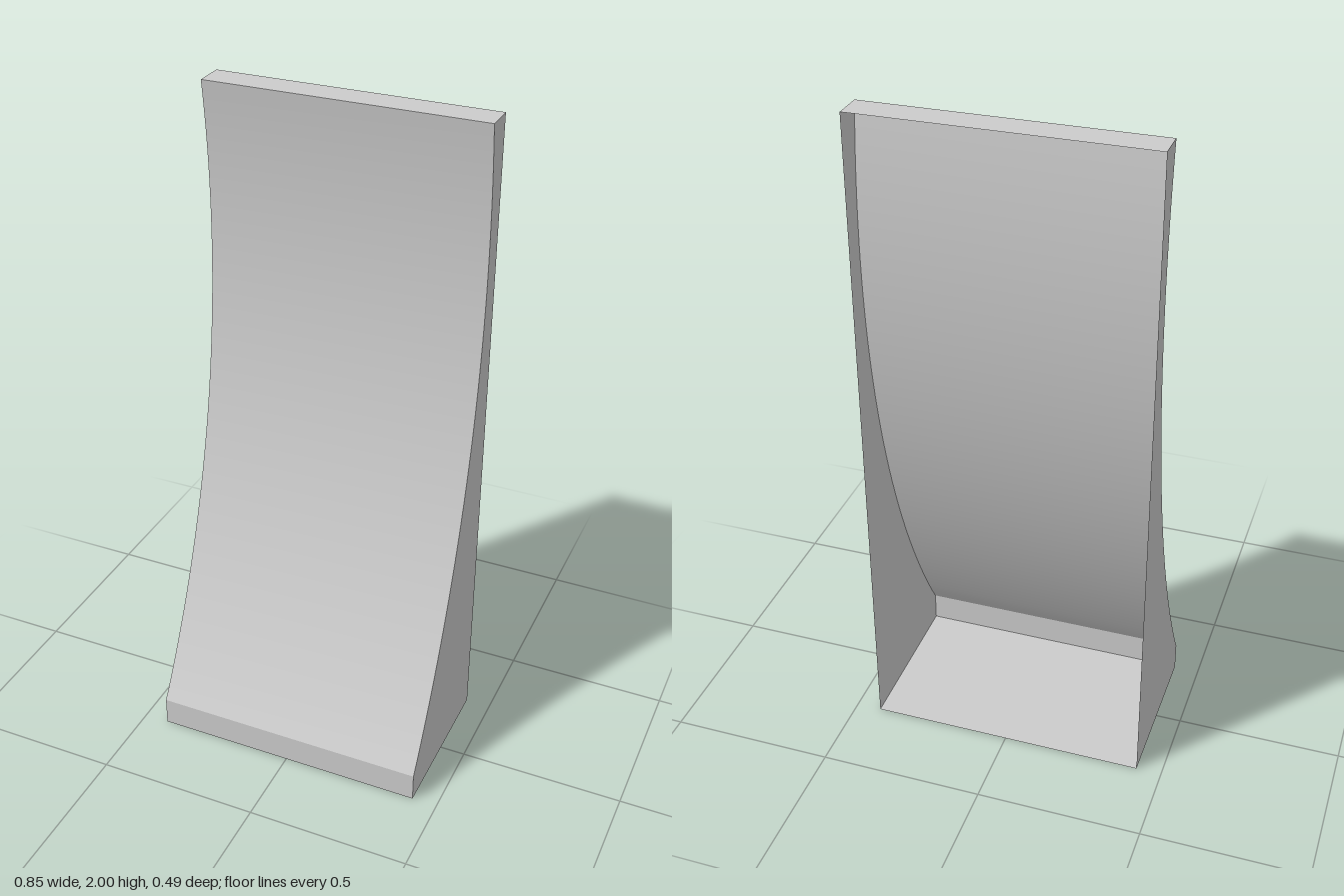
import * as THREE from 'three';

const HALF_W = 0.423, BACK = -0.247, FRONT = 0.247, HEIGHT = 2, LIP = 0.09;
const ARC = { z: 2.698, y: 1.6, r: 2.88, steps: 40 };

// Concave front profile as (z, y) points, from the top edge down to the lip
function frontProfile() {
  const a0 = Math.asin((HEIGHT - ARC.y) / ARC.r);
  const a1 = Math.asin((LIP - ARC.y) / ARC.r);
  const points = [];
  for (let i = 0; i <= ARC.steps; i++) {
    const a = a0 + (a1 - a0) * i / ARC.steps;
    points.push(new THREE.Vector2(ARC.z - ARC.r * Math.cos(a), ARC.y + ARC.r * Math.sin(a)));
  }
  points[0].y = HEIGHT;
  points[ARC.steps].set(FRONT, LIP);
  return points;
}

export function createModel() {
  const group = new THREE.Group();
  const material = new THREE.MeshStandardMaterial({ color: 0xcccccc, side: THREE.DoubleSide });
  const add = (name, geometry) => {
    const mesh = new THREE.Mesh(geometry, material);
    mesh.name = name;
    group.add(mesh);
    return mesh;
  };

  // Sheet spanning the full width along a (z, y) profile
  const sheet = (name, points) => {
    const geometry = new THREE.PlaneGeometry(2 * HALF_W, 1, 1, points.length - 1);
    const pos = geometry.attributes.position;
    for (let i = 0; i < pos.count; i++) {
      const p = points[Math.floor(i / 2)];
      pos.setY(i, p.y);
      pos.setZ(i, p.x);
    }
    geometry.computeVertexNormals();
    return add(name, geometry);
  };

  const v = (z, y) => new THREE.Vector2(z, y);
  const profile = frontProfile();
  const topFront = profile[0], lipTop = profile[profile.length - 1];

  // Shell panels; the back stays open
  sheet('curvedFront', profile);
  sheet('frontLip', [lipTop, v(FRONT, 0)]);
  sheet('base', [v(FRONT, 0), v(BACK, 0)]);
  sheet('topEdge', [v(BACK, HEIGHT), topFront]);

  // Side walls following the profile
  const outline = [v(BACK, HEIGHT), ...profile, v(FRONT, 0), v(BACK, 0)];
  for (const side of [-1, 1]) {
    const mirrored = outline.map(p => v(-side * p.x, p.y));
    const wall = new THREE.ShapeGeometry(new THREE.Shape(mirrored));
    wall.rotateY(side * Math.PI / 2);
    wall.translate(side * HALF_W, 0, 0);
    add(side > 0 ? 'leftWall' : 'rightWall', wall);
  }
  return group;
}
